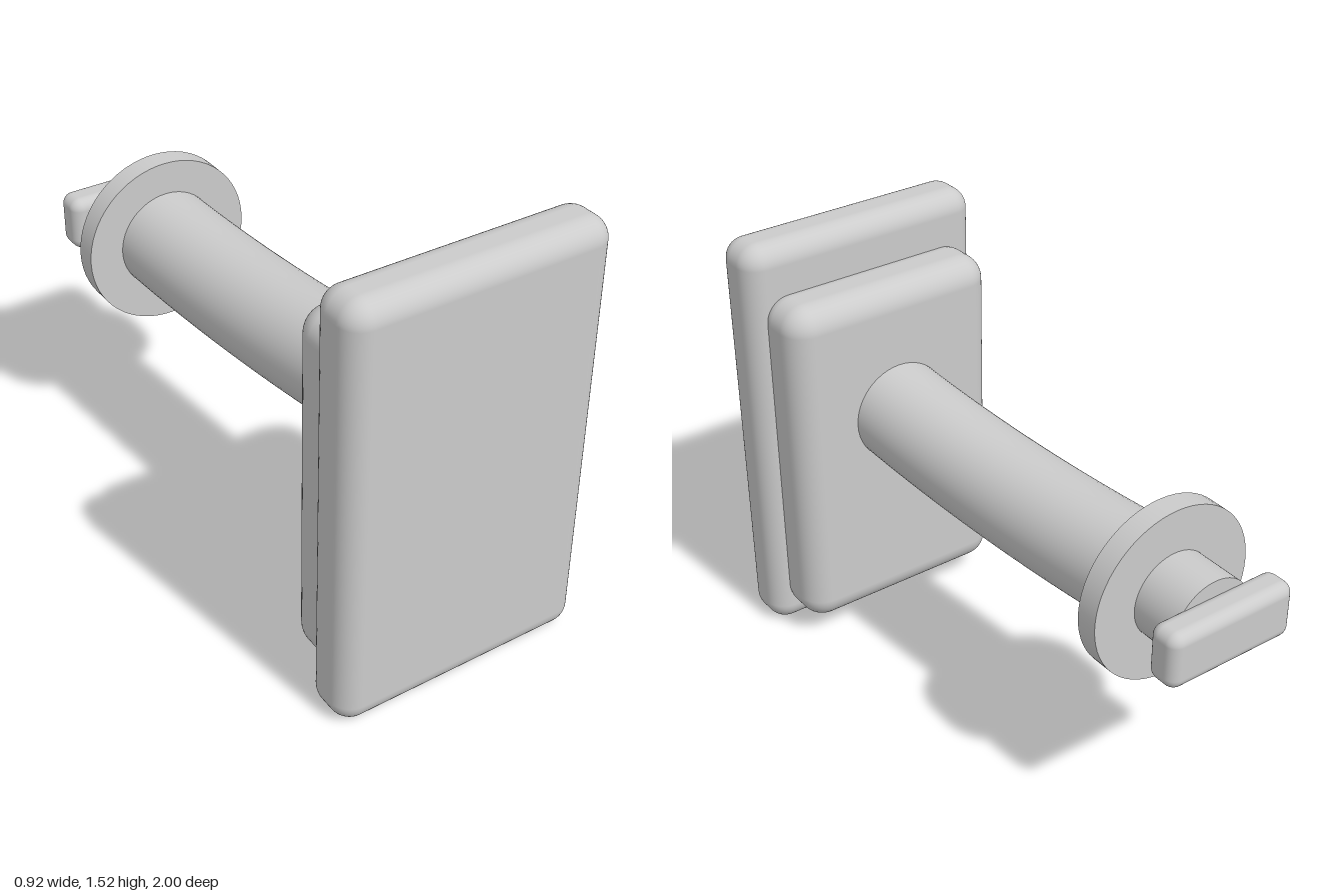
import * as THREE from 'three';
import { RoundedBoxGeometry } from 'three/addons/geometries/RoundedBoxGeometry.js';

export function createModel() {
  const group = new THREE.Group();
  const material = new THREE.MeshStandardMaterial({ color: 0xcccccc });

  function add(name, geometry, x, y, z) {
    const mesh = new THREE.Mesh(geometry, material);
    mesh.name = name;
    mesh.position.set(x, y, z);
    group.add(mesh);
    return mesh;
  }

  // Rounded block given by its extents in y and z
  function block(name, x, width, y0, y1, z0, z1, radius) {
    const geometry = new RoundedBoxGeometry(width, y1 - y0, z1 - z0, 6, radius);
    add(name, geometry, x, (y0 + y1) / 2, (z0 + z1) / 2);
  }

  // Disc with its axis along z
  function disc(name, radius, z0, z1) {
    const geometry = new THREE.CylinderGeometry(radius, radius, z1 - z0, 64);
    geometry.rotateX(Math.PI / 2);
    add(name, geometry, axisX, axisY, (z0 + z1) / 2);
  }

  const axisX = -0.103, axisY = 0.815;

  // Stacked plates
  block('frontPlate', 0, 0.916, 0, 1.525, 0.8, 1, 0.075);
  block('backPlate', 0, 0.806, 0.08, 1.345, 0.622, 0.86, 0.09);

  // Gently sagging arm, running from inside the back plate to the flange
  const points = [];
  for (let i = 0; i <= 8; i++) {
    const z = 0.7 - (i / 8) * 1.38;
    const x = -0.007 + (z - 0.62) * 0.076;
    const y = 0.809 + 0.073 * (z + 0.25) ** 2;
    points.push(new THREE.Vector3(x, y, z));
  }
  const path = new THREE.CatmullRomCurve3(points);
  add('arm', new THREE.TubeGeometry(path, 48, 0.181, 48), 0, 0, 0);

  // Flange, neck and end tab
  disc('flange', 0.305, -0.72, -0.64);
  disc('neck', 0.151, -0.9, -0.7);
  block('endTab', axisX, 0.484, 0.715, 0.915, -1, -0.882, 0.04);

  return group;
}
